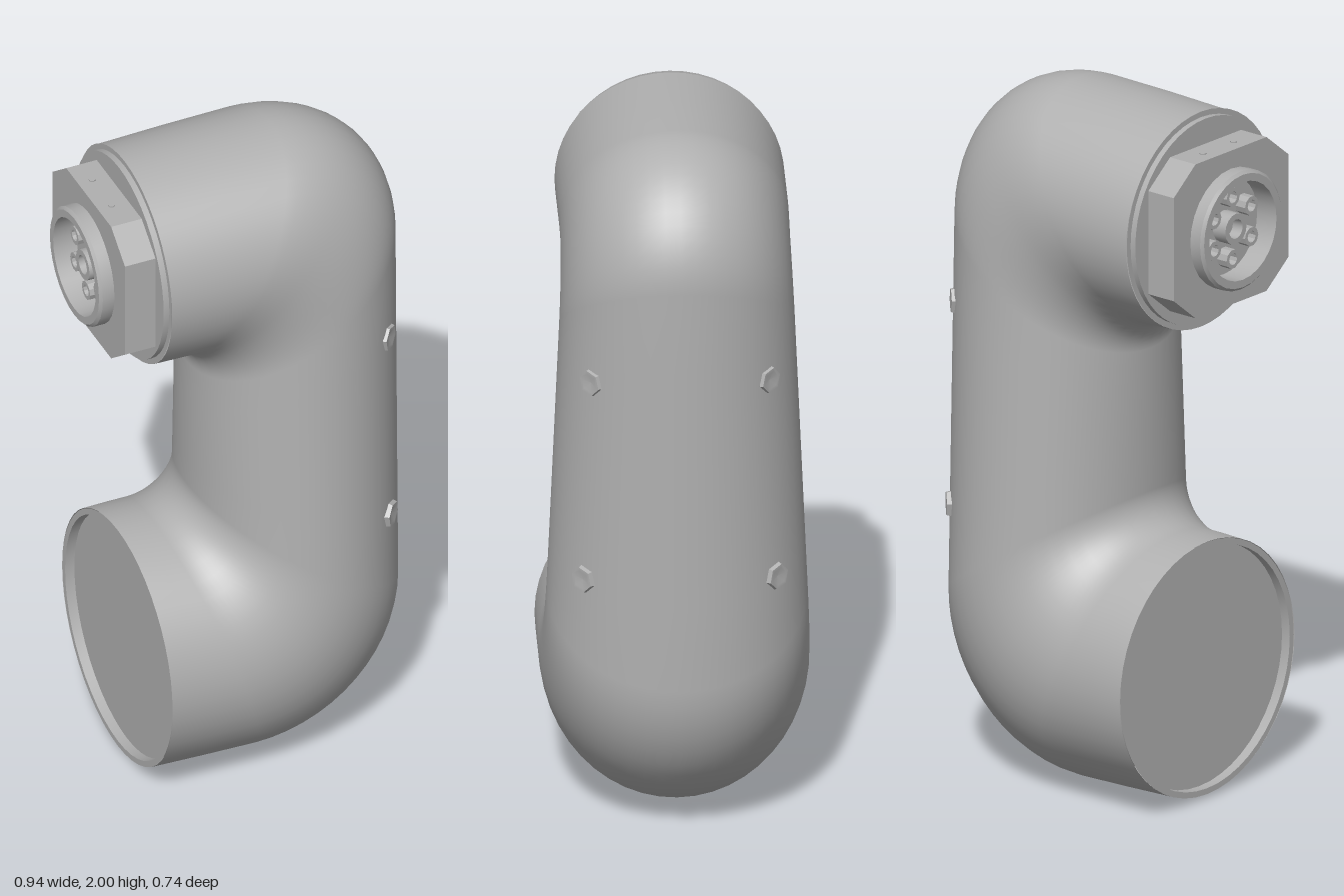
import * as THREE from 'three';
import { toCreasedNormals } from 'three/addons/utils/BufferGeometryUtils.js';

const TOP = 1.682, BOTTOM = 0.38; // heights of the two joint axes
const COL_X = 0.165, COL_A = 0.3; // column centre and half depth

// column half width shrinks towards the top
const halfWidth = (y) => THREE.MathUtils.lerp(0.37, 0.316, THREE.MathUtils.clamp((y - 0.42) / 1.22, 0, 1));

// outer and inner edge of the bent tube, paired from the lower to the upper opening
function edgePairs() {
  const pairs = [[[-0.34, 0.014], [-0.34, 0.748]], [[-0.17, 0.007], [-0.28, 0.75]]];
  const N = 14;
  for (let i = 0; i <= N; i++) {
    const t = (i / N) * Math.PI / 2, s = Math.sin(t), c = Math.cos(t);
    pairs.push([[0.465 * s, 0.47 - 0.468 * c], [-0.235 + 0.1 * s, 0.85 - 0.1 * c]]);
  }
  for (let i = 1; i < 5; i++) {
    const k = i / 5;
    pairs.push([[0.465, 0.47 + 1.18 * k], [-0.135, 0.85 + 0.415 * k]]);
  }
  for (let i = 0; i <= N; i++) {
    const t = (i / N) * Math.PI / 2, s = Math.sin(t), c = Math.cos(t);
    pairs.push([[0.12 + 0.345 * c, 1.65 + 0.35 * s], [-0.235 + 0.1 * c, 1.265 + 0.1 * s]]);
  }
  pairs.push([[-0.1, 1.997], [-0.27, 1.367]], [[-0.318, 1.99], [-0.318, 1.37]]);
  return pairs;
}

// skin of elliptical rings through the edge pairs
function tubeGeometry() {
  const pos = [], idx = [], M = 48, pairs = edgePairs();
  pairs.forEach(([o, n], i) => {
    const cx = (o[0] + n[0]) / 2, cy = (o[1] + n[1]) / 2;
    const hx = (o[0] - n[0]) / 2, hy = (o[1] - n[1]) / 2, w = halfWidth(cy);
    for (let j = 0; j < M; j++) {
      const a = (j / M) * Math.PI * 2;
      pos.push(cx + hx * Math.cos(a), cy + hy * Math.cos(a), w * Math.sin(a));
      if (i === pairs.length - 1) continue;
      const p = i * M + j, q = i * M + (j + 1) % M;
      idx.push(p, p + M, q, q, p + M, q + M);
    }
  });
  const g = new THREE.BufferGeometry();
  g.setAttribute('position', new THREE.Float32BufferAttribute(pos, 3));
  g.setIndex(idx);
  g.computeVertexNormals();
  return g;
}

// profile points are [radius, height]
const turned = (points, sides) =>
  toCreasedNormals(new THREE.LatheGeometry(points.map((p) => new THREE.Vector2(...p)), sides), 0.6);

export function createModel() {
  const model = new THREE.Group();
  const grey = new THREE.MeshStandardMaterial({ color: 0xb0b0b0, side: THREE.DoubleSide });
  grey.name = 'housing grey';
  const add = (name, geometry, parent = model) => {
    const m = new THREE.Mesh(geometry, grey);
    m.name = name;
    parent.add(m);
    return m;
  };

  add('linkHousing', tubeGeometry());

  // groups whose local +y points out of an opening, towards -x
  const joint = (name, y) => {
    const g = new THREE.Group();
    g.name = name;
    g.position.y = y;
    g.rotation.z = Math.PI / 2;
    model.add(g);
    return g;
  };

  // lower opening with thin lip and recessed cover
  const lower = joint('lowerJoint', BOTTOM);
  add('lowerCover', turned([[0.367, 0.34], [0.35, 0.34], [0.35, 0.312], [0, 0.312]], 48), lower);

  // upper opening: collar, chamfered flange, hollow plug
  const upper = joint('upperJoint', TOP);
  add('upperCollar', turned([[0.313, 0.318], [0.297, 0.318], [0.297, 0.335], [0, 0.335]], 48), upper);

  const flat = 0.15, fy = 0.224, fz = 0.242;
  const outline = [[fy, flat], [flat, fz], [-flat, fz], [-fy, flat], [-fy, -flat], [-flat, -fz], [flat, -fz], [fy, -flat]];
  const shape = new THREE.Shape(outline.map((p) => new THREE.Vector2(...p)));
  shape.holes.push(new THREE.Path().absarc(0, 0, 0.15, 0, Math.PI * 2, true));
  const flange = new THREE.ExtrudeGeometry(shape, { depth: 0.095, bevelEnabled: false, curveSegments: 24 });
  flange.rotateX(-Math.PI / 2).translate(0, 0.332, 0);
  add('flange', flange, upper);

  add('plugRing', turned([[0.172, 0.425], [0.172, 0.462], [0.164, 0.47], [0.142, 0.47], [0.142, 0.4], [0, 0.4]], 28), upper);
  add('plugCore', turned([[0.045, 0.4], [0.045, 0.445], [0.028, 0.445], [0.028, 0.41], [0, 0.41]], 16), upper);
  for (let i = 0; i < 6; i++) {
    const a = (i / 6) * Math.PI * 2;
    const socket = turned([[0.028, 0.4], [0.028, 0.435], [0.017, 0.435], [0.017, 0.405], [0, 0.405]], 10);
    add('plugSocket', socket.translate(0.09 * Math.cos(a), 0, 0.09 * Math.sin(a)), upper);
  }

  // small screws around the flange rim
  for (const side of [1, -1]) for (const z of [-0.07, 0.06]) {
    add('flangeScrew', new THREE.CylinderGeometry(0.01, 0.01, 0.006, 6).rotateZ(Math.PI / 2)
      .translate(side * fy, 0.385, z), upper);
  }

  // four dimpled screw seats on the back of the column
  for (const side of [1, -1]) for (const [y, a] of [[1.355, 0.84], [0.77, 0.85]]) {
    const w = halfWidth(y);
    const seat = add('screwSeat', turned([[0.042, -0.012], [0.036, 0.009], [0.026, 0.009], [0, 0.001]], 6));
    const normal = new THREE.Vector3(Math.cos(a) / COL_A, 0, side * Math.sin(a) / w).normalize();
    seat.position.set(COL_X + COL_A * Math.cos(a), y, side * w * Math.sin(a));
    seat.quaternion.setFromUnitVectors(new THREE.Vector3(0, 1, 0), normal);
  }
  return model;
}
